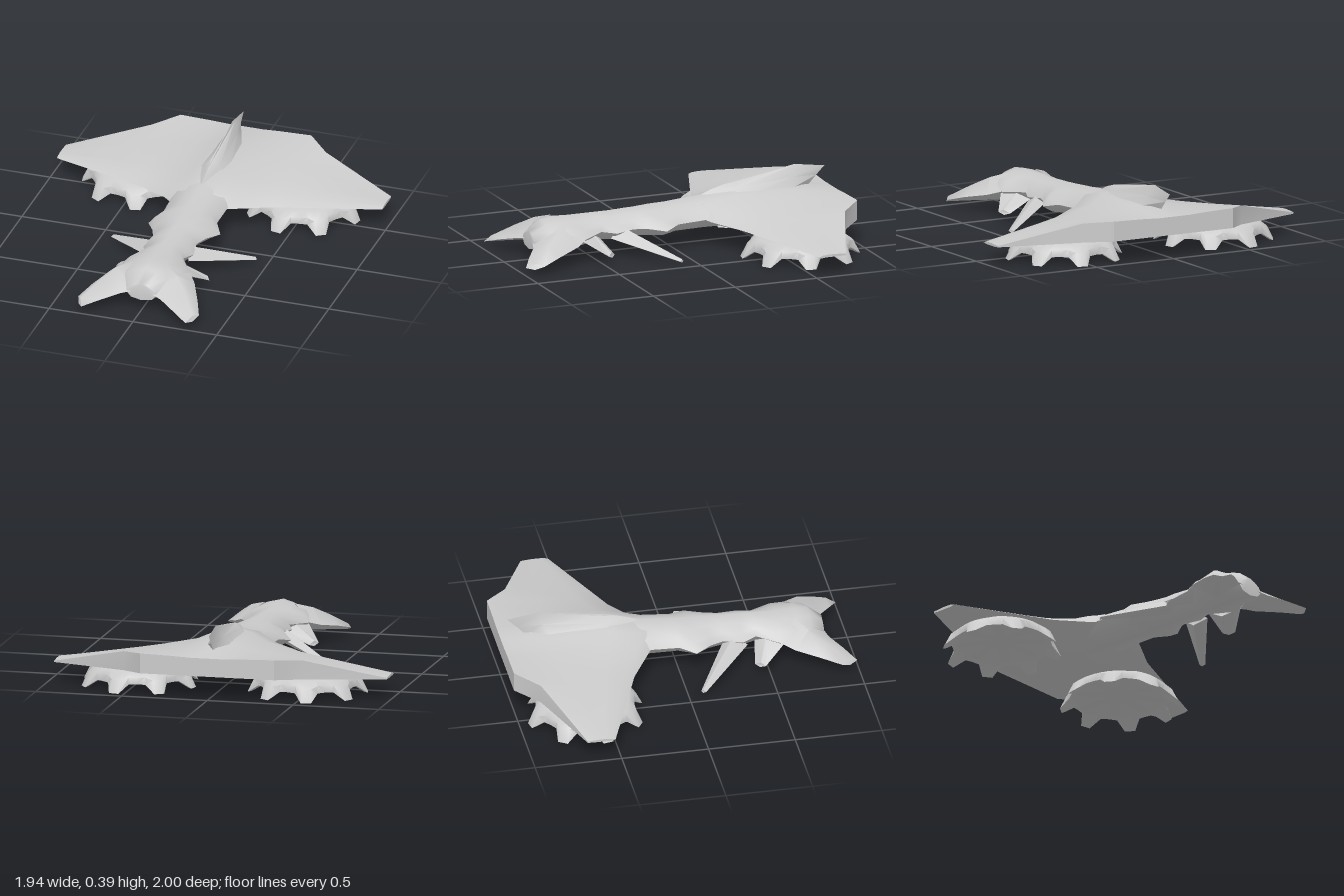
import * as THREE from 'three';
import { toCreasedNormals } from 'three/addons/utils/BufferGeometryUtils.js';

const material = new THREE.MeshStandardMaterial({ color: 0xcccccc });

// Skin a row of closed cross-sections and cap both ends, always facing outwards
function loft(name, rings, crease = 0.8) {
  const n = rings[0].length;
  const points = rings.flat();
  const faces = [];
  for (let r = 0; r < rings.length - 1; r++) {
    for (let i = 0; i < n; i++) {
      const a = r * n + i, b = r * n + (i + 1) % n;
      faces.push([a, b, b + n], [a, b + n, a + n]);
    }
  }
  const last = (rings.length - 1) * n;
  for (let i = 1; i < n - 1; i++) {
    faces.push([0, i + 1, i], [last, last + i, last + i + 1]);
  }
  const v = points.map((p) => new THREE.Vector3(...p));
  const cross = new THREE.Vector3();
  const volume = faces.reduce((sum, [a, b, c]) => sum + v[a].dot(cross.crossVectors(v[b], v[c])), 0);
  if (volume < 0) faces.forEach((f) => f.reverse());
  const geometry = new THREE.BufferGeometry();
  geometry.setAttribute('position', new THREE.Float32BufferAttribute(points.flat(), 3));
  geometry.setIndex(faces.flat());
  const mesh = new THREE.Mesh(toCreasedNormals(geometry, crease), material);
  mesh.name = name;
  return mesh;
}

const mirror = (rings) => rings.map((ring) => ring.map(([x, y, z]) => [-x, y, z]));

// Left part plus its mirrored right twin
function pair(name, rings, crease) {
  return [loft(name + 'Left', rings, crease), loft(name + 'Right', mirror(rings), crease)];
}

// Neck and head: z, half width, top, widest height, bottom
function makeNeck() {
  const sections = [
    [0.85, 0.09, 0.17, 0.11, 0.065], [0.77, 0.15, 0.23, 0.14, 0.065],
    [0.7, 0.19, 0.24, 0.15, 0.07], [0.58, 0.2, 0.235, 0.14, 0.075],
    [0.45, 0.115, 0.24, 0.15, 0.08], [0.37, 0.15, 0.24, 0.14, 0.08],
    [0.26, 0.13, 0.245, 0.15, 0.085], [0.18, 0.16, 0.247, 0.15, 0.085],
    [0.09, 0.215, 0.25, 0.14, 0.088], [0, 0.165, 0.255, 0.16, 0.09],
    [-0.17, 0.17, 0.27, 0.17, 0.092], [-0.4, 0.2, 0.29, 0.17, 0.095],
  ];
  return loft('neckAndHead', sections.map(([z, w, top, mid, low]) => {
    const half = [
      [w * 0.4, top - (top - mid) * 0.2], [w * 0.8, top - (top - mid) * 0.55],
      [w, mid], [w * 0.7, low + (mid - low) * 0.3],
    ];
    return [
      [0, top, z], ...half.map(([x, y]) => [x, y, z]),
      [0, low, z], ...half.reverse().map(([x, y]) => [-x, y, z]),
    ];
  }), 1);
}

// Wing and hull in one span; each section is a [z, y] outline
function makeWing() {
  const span = [
    [0, [[-0.1, 0.18], [-0.15, 0.26], [-0.38, 0.3], [-0.72, 0.29], [-1, 0.245], [-1, 0.14], [-0.8, 0.1], [-0.3, 0.1]]],
    [0.1, [[-0.12, 0.18], [-0.18, 0.24], [-0.38, 0.275], [-0.72, 0.27], [-1, 0.245], [-1, 0.14], [-0.8, 0.1], [-0.3, 0.1]]],
    [0.2, [[-0.19, 0.16], [-0.25, 0.2], [-0.42, 0.235], [-0.72, 0.245], [-1, 0.25], [-1, 0.14], [-0.8, 0.102], [-0.35, 0.102]]],
    [0.39, [[-0.305, 0.145], [-0.35, 0.17], [-0.48, 0.205], [-0.72, 0.225], [-1, 0.255], [-1, 0.14], [-0.8, 0.105], [-0.42, 0.105]]],
    [0.52, [[-0.355, 0.138], [-0.4, 0.16], [-0.5, 0.185], [-0.7, 0.205], [-0.87, 0.235], [-0.87, 0.125], [-0.76, 0.107], [-0.45, 0.107]]],
    [0.97, [[-0.53, 0.115], [-0.55, 0.122], [-0.58, 0.125], [-0.63, 0.125], [-0.69, 0.12], [-0.69, 0.112], [-0.66, 0.11], [-0.56, 0.11]]],
  ];
  const left = span.map(([x, outline]) => outline.map(([z, y]) => [x, y, z]));
  return loft('wing', [...mirror(left).reverse(), ...left.slice(1)], 0.7);
}

// Swept fin along the back
function makeFin() {
  const ring = (front, side1, side2, back) => [
    front, side1, side2, back,
    [-side2[0], side2[1], side2[2]], [-side1[0], side1[1], side1[2]],
  ];
  return loft('tailFin', [
    ring([0, 0.25, -0.15], [0.1, 0.255, -0.4], [0.07, 0.265, -0.72], [0, 0.25, -0.85]),
    ring([0, 0.295, -0.26], [0.045, 0.3, -0.4], [0.03, 0.325, -0.76], [0, 0.315, -0.91]),
    ring([0, 0.318, -0.34], [0.01, 0.328, -0.4], [0.006, 0.39, -0.78], [0, 0.365, -0.96]),
  ]);
}

// Toothed dish under each wing: eight flared teeth, hollow underneath
function makeDish() {
  // Angle offset within one tooth, rim radius, rim height
  const tooth = [[-22.5, 0.28, 0.05], [-13, 0.285, 0.048], [-5, 0.34, 0.003], [5, 0.34, 0.003], [13, 0.285, 0.048]];
  const rim = [];
  for (let k = 0; k < 8; k++) {
    for (const [offset, r, y] of tooth) rim.push([THREE.MathUtils.degToRad(12 + 45 * k + offset), r, y]);
  }
  const circle = (radius, height) => rim.map(([a, r, y]) => {
    const R = radius(r);
    return [0.49 + R * Math.cos(a), height(y), -0.61 + R * Math.sin(a)];
  });
  return [
    circle(() => 0.02, () => 0.115),
    circle(() => 0.25, () => 0.115),
    circle((r) => 0.28 + (r - 0.28) * 0.4, (y) => 0.075 + y * 0.3),
    circle((r) => r, (y) => y),
    circle((r) => r - 0.02, (y) => y + 0.004),
    circle(() => 0.24, () => 0.058),
    circle(() => 0.02, () => 0.075),
  ];
}

export function createModel() {
  const model = new THREE.Group();
  model.name = 'wingedCraft';
  model.add(makeNeck(), makeWing(), makeFin());
  model.add(...pair('toothedDish', makeDish(), 0.9));

  // Forward horns at the corners of the head
  model.add(...pair('headHorn', [
    [[0.03, 0.12, 0.84], [0.09, 0.225, 0.68], [0.2, 0.14, 0.58], [0.1, 0.068, 0.68]],
    [[0.12, 0.1, 0.87], [0.18, 0.195, 0.74], [0.25, 0.115, 0.65], [0.18, 0.065, 0.74]],
    [[0.215, 0.075, 0.935], [0.255, 0.14, 0.83], [0.315, 0.085, 0.79], [0.255, 0.052, 0.84]],
    [[0.31, 0.045, 0.995], [0.335, 0.068, 0.94], [0.36, 0.055, 0.9], [0.34, 0.036, 0.95]],
  ], 1.1));

  // Short cheek fins behind the head
  model.add(...pair('cheekFin', [
    [[0.08, 0.11, 0.45], [0.1, 0.17, 0.52], [0.19, 0.13, 0.6], [0.12, 0.08, 0.52]],
    [[0.235, 0.045, 0.42], [0.26, 0.065, 0.45], [0.28, 0.05, 0.475], [0.26, 0.035, 0.445]],
  ]));

  // Long spikes sweeping back and down from the neck
  model.add(...pair('neckSpike', [
    [[0.1, 0.12, 0.26], [0.1, 0.17, 0.33], [0.13, 0.11, 0.4], [0.1, 0.08, 0.32]],
    [[0.415, 0.018, 0.075], [0.425, 0.03, 0.085], [0.435, 0.02, 0.1], [0.425, 0.01, 0.085]],
  ]));
  return model;
}
